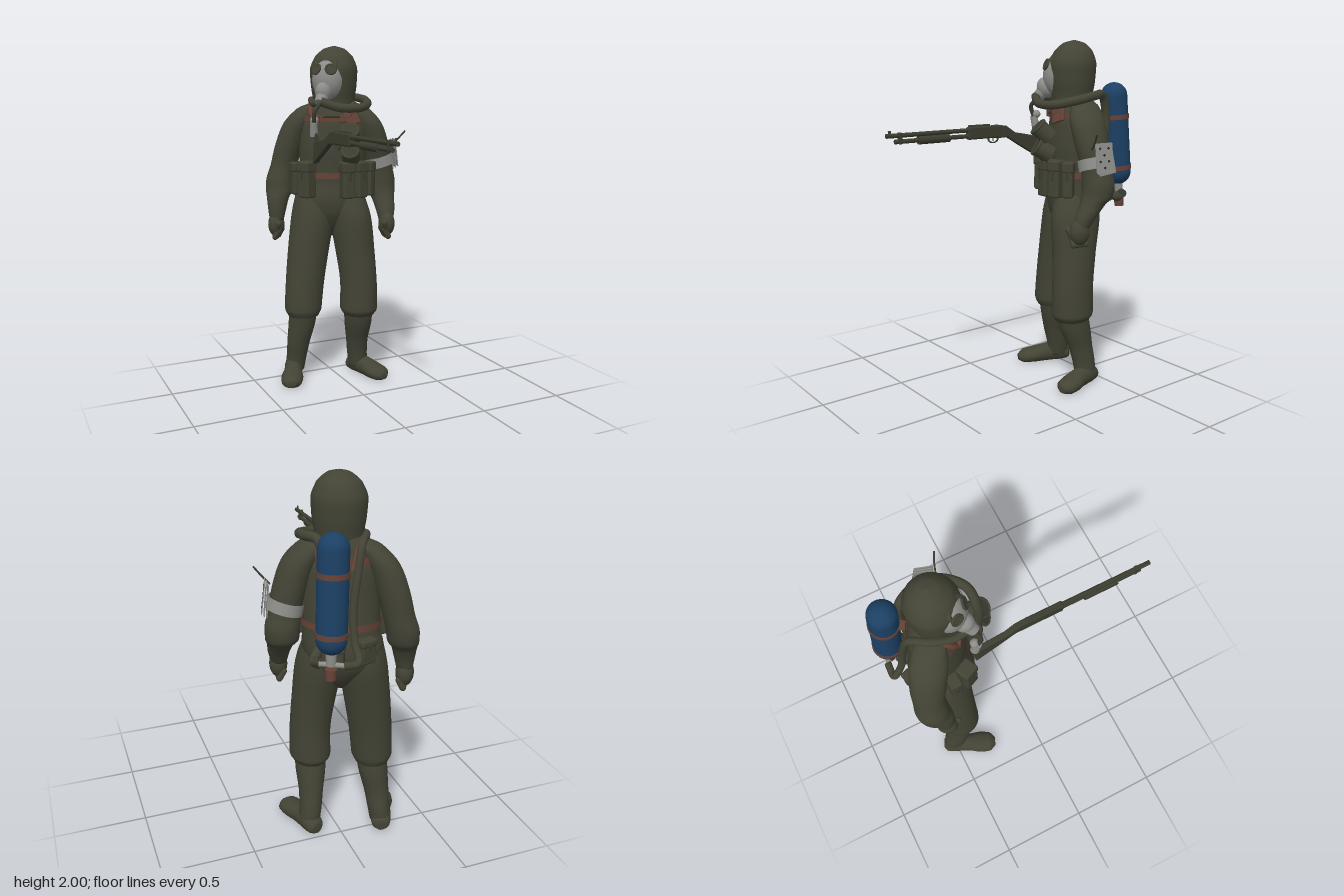
import * as THREE from 'three';
import { RoundedBoxGeometry } from 'three/addons/geometries/RoundedBoxGeometry.js';

const paint = (name, color, side = THREE.FrontSide) => {
  const m = new THREE.MeshStandardMaterial({ color, side });
  m.name = name;
  return m;
};

// Smooth skin through elliptical sections [x, y, z, rx, rz], listed from bottom to top
function loft(sections, yaw = 0, steps = 5, sides = 28) {
  const centre = new THREE.CatmullRomCurve3(sections.map(s => new THREE.Vector3(s[0], s[1], s[2])));
  const radii = new THREE.CatmullRomCurve3(sections.map(s => new THREE.Vector3(s[3], s[4], 0)));
  const n = (sections.length - 1) * steps, pos = [], idx = [];
  for (let i = 0; i <= n; i++) {
    const c = centre.getPoint(i / n), r = radii.getPoint(i / n);
    for (let j = 0; j < sides; j++) {
      const a = (j / sides) * Math.PI * 2;
      const x = Math.cos(a) * Math.max(r.x, 0.001), z = Math.sin(a) * Math.max(r.y, 0.001);
      pos.push(c.x + x * Math.cos(yaw) + z * Math.sin(yaw), c.y, c.z - x * Math.sin(yaw) + z * Math.cos(yaw));
    }
  }
  for (let i = 0; i < n; i++) for (let j = 0; j < sides; j++) {
    const a = i * sides + j, b = i * sides + (j + 1) % sides;
    idx.push(a, a + sides, b, b, a + sides, b + sides);
  }
  for (let j = 1; j < sides - 1; j++) {
    idx.push(0, j, j + 1, n * sides, n * sides + j + 1, n * sides + j);
  }
  const g = new THREE.BufferGeometry();
  g.setAttribute('position', new THREE.Float32BufferAttribute(pos, 3));
  g.setIndex(idx);
  g.computeVertexNormals();
  return g;
}

const tube = (pts, r) => new THREE.TubeGeometry(
  new THREE.CatmullRomCurve3(pts.map(p => new THREE.Vector3(...p))), pts.length * 8, r, 10);
const cyl = (r1, r2, h, n = 20) => new THREE.CylinderGeometry(r1, r2, h, n);
const ball = r => new THREE.SphereGeometry(r, 24, 16);
const box = (w, h, d, r = 0.012) => new RoundedBoxGeometry(w, h, d, 2, r);

function add(parent, name, geo, mat, pos = [0, 0, 0], rot = [0, 0, 0], scale = [1, 1, 1]) {
  const m = new THREE.Mesh(geo, mat);
  m.name = name;
  m.position.set(...pos);
  m.rotation.set(...rot);
  m.scale.set(...scale);
  parent.add(m);
  return m;
}
function group(parent, name, pos = [0, 0, 0], yaw = 0) {
  const g = new THREE.Group();
  g.name = name;
  g.position.set(...pos);
  g.rotation.y = yaw;
  parent.add(g);
  return g;
}

export function createModel() {
  const olive = paint('olive cloth', 0x434435);
  const gunOlive = paint('dark olive metal', 0x3c3d30);
  const brown = paint('brown leather', 0x664237, THREE.DoubleSide);
  const grey = paint('pale grey', 0x8c8c89, THREE.DoubleSide);
  const blue = paint('tank blue', 0x1c4064);
  const black = paint('near black', 0x22231e);
  const root = new THREE.Group();
  root.name = 'suitedFigure';
  const TURN = -Math.PI / 6, HALF = Math.PI / 2;

  // Torso
  const body = group(root, 'body', [0, 0, -0.42], TURN);
  add(body, 'torso', loft([
    [-0.015, 0.88, 0, 0.03, 0.04], [-0.015, 0.94, 0, 0.1, 0.1], [-0.02, 1.03, 0, 0.185, 0.15], [-0.02, 1.12, 0, 0.21, 0.163],
    [-0.01, 1.22, 0, 0.198, 0.152], [0, 1.4, 0.015, 0.2, 0.15], [0, 1.54, 0.015, 0.195, 0.138],
    [0, 1.64, 0.02, 0.15, 0.12], [0, 1.72, 0.02, 0.09, 0.09]]), olive);

  // Trousers, boots and feet
  const legs = [
    { side: 'left', yaw: 0.26, ankle: [0.15, 0, -0.4],
      trouser: [[0.115, 0.4, -0.31, 0.09, 0.105], [0.115, 0.44, -0.31, 0.11, 0.128], [0.115, 0.6, -0.31, 0.108, 0.127],
        [0.1, 0.8, -0.33, 0.115, 0.134], [0.08, 1, -0.355, 0.12, 0.155], [0.06, 1.14, -0.38, 0.105, 0.135]],
      boot: [[0.15, 0.04, -0.39, 0.058, 0.065], [0.14, 0.12, -0.385, 0.06, 0.07], [0.13, 0.22, -0.365, 0.065, 0.076],
        [0.12, 0.34, -0.33, 0.08, 0.096], [0.115, 0.43, -0.31, 0.085, 0.1]] },
    { side: 'right', yaw: -0.43, ankle: [-0.24, 0, -0.5],
      trouser: [[-0.2, 0.4, -0.43, 0.093, 0.1], [-0.2, 0.44, -0.43, 0.11, 0.116], [-0.185, 0.6, -0.435, 0.115, 0.12],
        [-0.155, 0.8, -0.445, 0.122, 0.132], [-0.12, 1, -0.455, 0.127, 0.145], [-0.1, 1.14, -0.46, 0.115, 0.13]],
      boot: [[-0.235, 0.04, -0.5, 0.058, 0.065], [-0.225, 0.12, -0.49, 0.06, 0.07], [-0.22, 0.22, -0.465, 0.068, 0.074],
        [-0.205, 0.34, -0.445, 0.08, 0.088], [-0.2, 0.43, -0.43, 0.085, 0.09]] }];
  for (const L of legs) {
    add(root, L.side + 'Trouser', loft(L.trouser), olive);
    add(root, L.side + 'BootShaft', loft(L.boot), olive);
    // Foot is lofted lengthwise, then its underside is pressed flat
    const foot = loft([[0, -0.075, -0.035, 0.03, 0.03], [0, -0.055, -0.04, 0.05, 0.045], [0, 0, -0.05, 0.056, 0.062],
      [0, 0.08, -0.045, 0.054, 0.058], [0, 0.16, -0.037, 0.066, 0.048], [0, 0.22, -0.032, 0.06, 0.042],
      [0, 0.255, -0.027, 0.025, 0.02]]).rotateX(HALF);
    const p = foot.attributes.position;
    for (let i = 0; i < p.count; i++) p.setY(i, Math.max(p.getY(i), 0));
    foot.computeVertexNormals();
    add(root, L.side + 'Foot', foot, olive, L.ankle, [0, L.yaw, 0]);
  }

  // Sleeves and gloved fists
  const arms = [
    { side: 'left', s: 1, hand: [0.262, 0.95, -0.225], yaw: -0.2,
      path: [[0.262, 0.98, -0.235, 0.042, 0.048], [0.27, 1.04, -0.26, 0.055, 0.06], [0.275, 1.11, -0.305, 0.068, 0.074],
        [0.275, 1.15, -0.335, 0.086, 0.09], [0.275, 1.22, -0.345, 0.09, 0.092], [0.262, 1.3, -0.34, 0.082, 0.085],
        [0.232, 1.42, -0.335, 0.086, 0.1], [0.186, 1.55, -0.34, 0.086, 0.108], [0.128, 1.645, -0.365, 0.065, 0.085], [0.08, 1.69, -0.385, 0.01, 0.01]] },
    { side: 'right', s: -1, hand: [-0.325, 0.94, -0.535], yaw: -0.6,
      path: [[-0.322, 0.98, -0.535, 0.042, 0.046], [-0.317, 1.04, -0.538, 0.053, 0.056], [-0.305, 1.11, -0.553, 0.066, 0.07],
        [-0.288, 1.15, -0.572, 0.08, 0.085], [-0.277, 1.22, -0.58, 0.084, 0.088], [-0.255, 1.3, -0.575, 0.08, 0.084],
        [-0.227, 1.42, -0.555, 0.082, 0.094], [-0.185, 1.55, -0.52, 0.082, 0.1], [-0.125, 1.64, -0.48, 0.068, 0.082], [-0.08, 1.685, -0.45, 0.01, 0.01]] }];
  for (const A of arms) {
    add(root, A.side + 'Sleeve', loft(A.path), olive);
    const hand = group(root, A.side + 'Hand', A.hand, A.yaw);
    add(hand, 'palm', ball(1), olive, [0, 0.01, 0], [0, 0, 0], [0.048, 0.075, 0.058]);
    for (let i = 0; i < 4; i++) {
      add(hand, 'finger', new THREE.CapsuleGeometry(0.018, 0.045, 4, 10), olive, [-A.s * 0.012, -0.042, 0.038 - i * 0.026], [0, 0, A.s * 0.5]);
    }
    add(hand, 'thumb', new THREE.CapsuleGeometry(0.017, 0.05, 4, 10), olive, [-A.s * 0.022, 0, 0.048], [0.4, 0, A.s * 0.3]);
  }

  // Hooded head with breathing mask
  const head = group(root, 'head', [-0.005, 0, -0.39], -0.82);
  add(head, 'hood', loft([[0, 1.59, 0, 0.145, 0.135], [0, 1.67, 0, 0.122, 0.116], [0, 1.77, 0, 0.134, 0.13],
    [0, 1.86, 0, 0.139, 0.136], [0, 1.94, -0.005, 0.11, 0.108], [0, 1.985, -0.008, 0.058, 0.058], [0, 2, -0.008, 0.002, 0.002]]), olive);
  add(head, 'mask', ball(1), grey, [0, 1.805, 0.076], [-0.06, 0, 0], [0.096, 0.125, 0.092]);
  add(head, 'hoodBrow', new THREE.TorusGeometry(0.06, 0.014, 10, 24, Math.PI), olive, [0, 1.88, 0.117], [-0.5, 0, 0], [1, 0.75, 1]);
  add(head, 'snout', ball(1), grey, [0, 1.735, 0.15], [0.4, 0, 0], [0.048, 0.06, 0.052]);
  add(head, 'filter', cyl(0.038, 0.032, 0.05), grey, [0, 1.695, 0.183], [-0.7, 0, 0]);
  for (const s of [-1, 1]) {
    const lens = group(head, 'eyepiece', [s * 0.044, 1.865, 0.144], s * 0.45);
    add(lens, 'lensFrame', new THREE.TorusGeometry(0.028, 0.007, 8, 24), olive, [0, 0, 0], [-0.35, 0, 0]);
    add(lens, 'lens', cyl(0.028, 0.028, 0.008), olive, [0, 0, 0], [HALF - 0.35, 0, 0]);
  }

  // Belt and harness
  const strap = (name, y, rx, rz, h, z = 0) =>
    add(body, name, new THREE.CylinderGeometry(1, 1, h, 40, 1, true), brown, [-0.005, y, z], [0, 0, 0], [rx, 1, rz]);
  strap('belt', 1.255, 0.208, 0.162, 0.034);
  strap('chestStrap', 1.585, 0.184, 0.137, 0.036, 0.018);
  for (const s of [-1, 1]) {
    add(body, 'shoulderStrap', tube([[s * 0.09, 1.57, 0.142], [s * 0.115, 1.62, 0.118], [s * 0.118, 1.668, 0.065],
      [s * 0.11, 1.68, 0], [s * 0.1, 1.64, -0.08], [s * 0.08, 1.55, -0.115]], 0.016), brown);
    add(body, 'strapBuckle', box(0.045, 0.04, 0.02, 0.005), brown, [s * 0.08, 1.585, 0.146]);
  }
  add(body, 'strapFlare', box(0.085, 0.085, 0.016, 0.006), brown, [0.125, 1.59, 0.127], [-0.35, 0.5, 0.5]);

  // Pouches spaced round the belt
  for (const [a, w, h, y] of [[-0.62, 0.085, 0.21, 1.235], [-1.02, 0.06, 0.19, 1.235], [0.46, 0.075, 0.21, 1.235],
    [0.82, 0.07, 0.21, 1.235], [1.17, 0.06, 0.2, 1.235], [-2.3, 0.09, 0.13, 1.14], [3.14, 0.11, 0.1, 1.13]]) {
    const back = Math.cos(a) < 0 ? 0.035 : 0;
    const pouch = group(body, 'pouch', [(0.232 - back) * Math.sin(a), y, (0.212 - back) * Math.cos(a)], a);
    add(pouch, 'pouchBody', box(w, h, 0.075), olive);
    add(pouch, 'pouchFlap', box(w + 0.008, h * 0.3, 0.084), olive, [0, h * 0.36, 0]);
    add(pouch, 'pouchTab', box(0.016, h * 0.3, 0.008, 0.003), gunOlive, [0, h * 0.14, 0.041]);
  }

  // Two stacked lamps on the chest
  for (const [y, tilt] of [[1.495, 0.8], [1.39, 1.0]]) {
    const lamp = group(body, 'chestLamp', [0.125, y, 0.21], 0.45);
    lamp.rotation.x = tilt;
    add(lamp, 'lampBody', cyl(0.05, 0.054, 0.09), olive);
    add(lamp, 'lampRim', new THREE.TorusGeometry(0.047, 0.009, 8, 24), olive, [0, 0.045, 0], [HALF, 0, 0]);
    add(lamp, 'lampFace', cyl(0.042, 0.042, 0.008), gunOlive, [0, 0.047, 0]);
  }
  // Hanging regulator under the mask
  add(root, 'regulator', cyl(0.02, 0.024, 0.08), grey, [-0.185, 1.53, -0.265], [0.2, 0, 0.1]);
  add(root, 'regulatorCap', ball(0.024), grey, [-0.18, 1.58, -0.27]);
  add(root, 'regulatorHose', tube([[-0.15, 1.67, -0.26], [-0.19, 1.63, -0.24], [-0.185, 1.55, -0.26], [-0.17, 1.43, -0.25], [-0.16, 1.34, -0.27]], 0.012), gunOlive);

  // Air tank on the back
  const tank = group(body, 'airTank', [0, 1.467, -0.237]);
  tank.rotation.x = 0.075;
  add(tank, 'cylinder', new THREE.CapsuleGeometry(0.077, 0.44, 12, 32), blue);
  for (const y of [0.1, -0.195]) {
    add(tank, 'tankStrap', cyl(0.081, 0.081, 0.026, 32), brown, [0, y, 0]);
    add(tank, 'tankStrapMount', box(0.05, 0.024, 0.07, 0.006), brown, [0, y, 0.085]);
  }
  add(tank, 'valveNeck', cyl(0.028, 0.024, 0.07), grey, [0, -0.32, 0]);
  add(tank, 'valveBar', cyl(0.013, 0.013, 0.13), grey, [0, -0.35, 0], [0, 0, HALF]);
  add(tank, 'valveGauge', cyl(0.024, 0.024, 0.03), gunOlive, [0.075, -0.34, 0], [0, 0, HALF]);
  add(tank, 'valveKnob', cyl(0.03, 0.027, 0.055), brown, [0, -0.4, 0]);

  // Breathing hoses over both shoulders
  add(root, 'leftHose', tube([[-0.15, 1.685, -0.24], [-0.06, 1.652, -0.19], [0.07, 1.65, -0.185], [0.155, 1.672, -0.27], [0.175, 1.695, -0.39],
    [0.14, 1.695, -0.49], [0.13, 1.6, -0.53], [0.13, 1.4, -0.52], [0.13, 1.2, -0.53], [0.19, 1.11, -0.57], [0.17, 1.12, -0.63]], 0.025), olive);
  add(root, 'rightHose', tube([[-0.14, 1.68, -0.27], [-0.145, 1.67, -0.36], [-0.12, 1.69, -0.46], [-0.06, 1.67, -0.55],
    [-0.03, 1.55, -0.58], [0, 1.35, -0.6], [0, 1.2, -0.63], [0.0, 1.12, -0.68], [0.08, 1.115, -0.68]], 0.02), olive);

  // Armband with tucked cards and a thin stick
  const band = group(root, 'armband', [0.257, 1.33, -0.338]);
  band.rotation.z = 0.27;
  add(band, 'bandCloth', new THREE.CylinderGeometry(0.093, 0.095, 0.062, 32, 1, true), grey, [0, 0, 0], [0, 0, 0], [1, 1, 1.06]);
  for (let i = 0; i < 3; i++) {
    const card = group(band, 'card', [0.094 + i * 0.009, 0.006 + i * 0.006, 0.008 + i * 0.012]);
    card.rotation.set(0.1 - i * 0.08, -0.3, -0.16);
    add(card, 'cardFace', new THREE.BoxGeometry(0.005, 0.16, 0.1), grey);
    if (i === 2) for (const [y, z] of [[0.05, 0.025], [0.05, -0.025], [0.015, 0], [-0.02, 0.025], [-0.02, -0.025], [-0.055, 0]]) {
      add(card, 'cardMark', new THREE.BoxGeometry(0.003, 0.011, 0.011), black, [0.003, y, z], [HALF / 2, 0, 0]);
    }
  }
  add(root, 'thinStick', tube([[0.31, 1.42, -0.26], [0.35, 1.465, -0.245], [0.385, 1.51, -0.225]], 0.005), gunOlive);

  // Long gun pointing forward
  const gun = group(root, 'longGun', [-0.175, 0, 0]);
  const rod = (name, r, y, z0, z1) => add(gun, name, cyl(r, r, z1 - z0, 16), gunOlive, [0, y, (z0 + z1) / 2], [HALF, 0, 0]);
  rod('barrel', 0.012, 1.515, 0.2, 0.72);
  rod('magazineTube', 0.012, 1.483, 0.2, 0.67);
  rod('pump', 0.022, 1.482, 0.34, 0.53);
  add(gun, 'barrelClamp', box(0.026, 0.06, 0.018, 0.004), gunOlive, [0, 1.5, 0.64]);
  add(gun, 'frontSight', box(0.006, 0.02, 0.016, 0.002), gunOlive, [0, 1.532, 0.7]);
  add(gun, 'receiver', box(0.034, 0.07, 0.22, 0.01), gunOlive, [0, 1.498, 0.11]);
  add(gun, 'sightRail', box(0.016, 0.012, 0.14, 0.003), gunOlive, [0, 1.536, 0.14]);
  add(gun, 'triggerGuard', new THREE.TorusGeometry(0.022, 0.004, 8, 20), gunOlive, [0, 1.458, 0.045], [0, HALF, 0], [1.5, 1, 1]);
  add(gun, 'trigger', box(0.006, 0.026, 0.006, 0.002), gunOlive, [0, 1.458, 0.045]);
  const outline = new THREE.Shape([[0.02, 1.53], [-0.04, 1.52], [-0.1, 1.48], [-0.26, 1.45], [-0.27, 1.34], [-0.13, 1.42],
    [-0.05, 1.468], [0.02, 1.465]].map(p => new THREE.Vector2(...p)));
  add(gun, 'stock', new THREE.ExtrudeGeometry(outline, { depth: 0.02, bevelSize: 0.006, bevelThickness: 0.006, bevelSegments: 2 })
    .translate(0, 0, -0.01), gunOlive, [0, 0, 0], [0, -HALF, 0]);
  return root;
}
